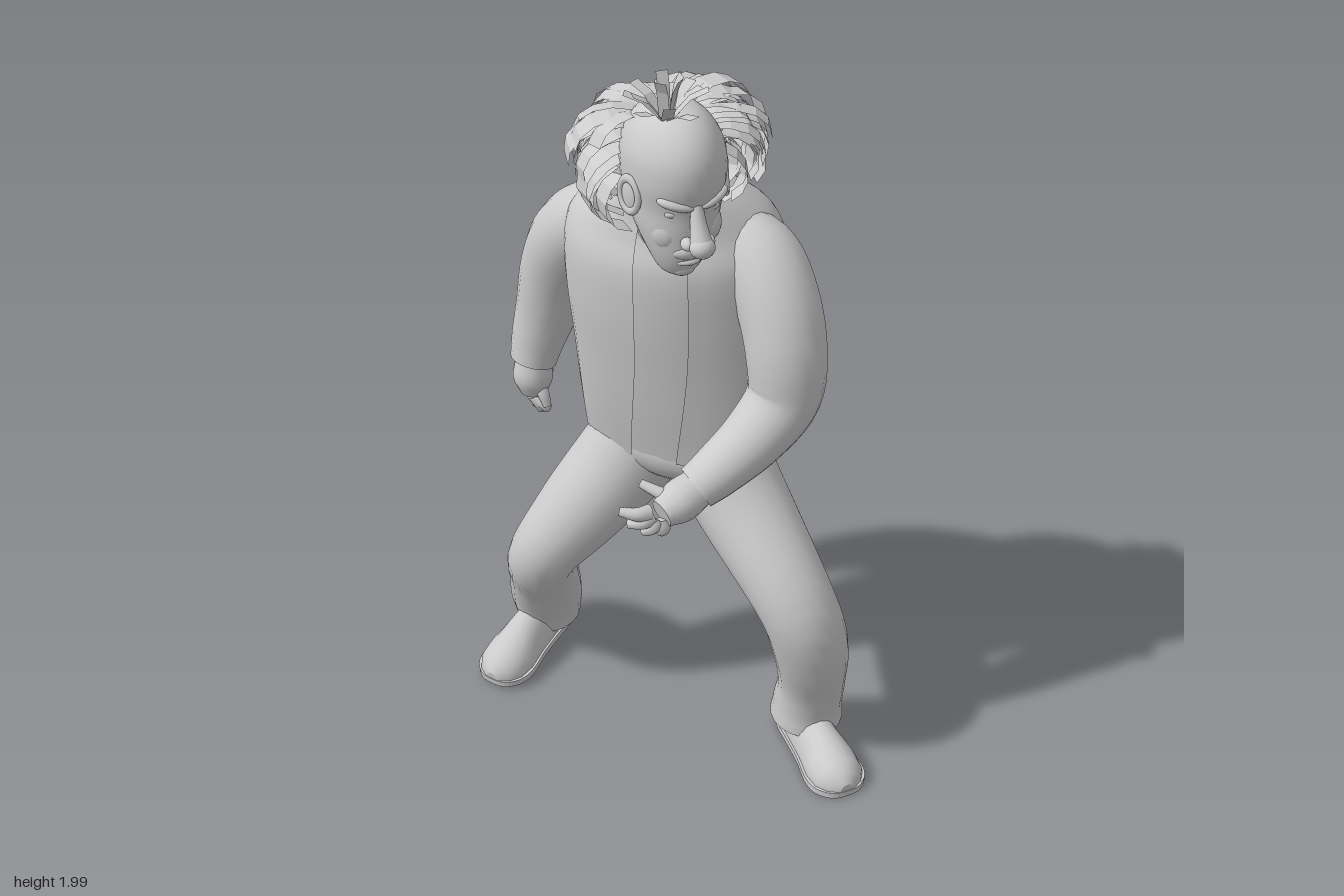
import * as THREE from 'three';
import { mergeGeometries } from 'three/addons/utils/BufferGeometryUtils.js';

const V = (x, y, z) => new THREE.Vector3(x, y, z);
const rad = THREE.MathUtils.degToRad;
const smooth = new THREE.MeshStandardMaterial({ color: 0xcccccc });
const open = new THREE.MeshStandardMaterial({ color: 0xcccccc, side: THREE.DoubleSide });
const flat = new THREE.MeshStandardMaterial({ color: 0xcccccc, side: THREE.DoubleSide, flatShading: true });

let seed = 7;
const rnd = () => (seed = (seed * 16807) % 2147483647) / 2147483647;

function add(parent, name, geometry, material = smooth) {
  const mesh = new THREE.Mesh(geometry, material);
  mesh.name = name;
  parent.add(mesh);
  return mesh;
}

// Skin rows of points into a surface; closed rows wrap round
function skin(rows, closed = true) {
  const n = rows[0].length, index = [];
  for (let i = 0; i < rows.length - 1; i++) {
    for (let j = 0; j < (closed ? n : n - 1); j++) {
      const k = (j + 1) % n, a = i * n + j, b = i * n + k;
      index.push(a, b, a + n, b, b + n, a + n);
    }
  }
  const g = new THREE.BufferGeometry().setFromPoints(rows.flat());
  g.setIndex(index);
  g.computeVertexNormals();
  return g;
}

// Crisp flat ends for a closed loft
function capped(rows) {
  const middle = r => {
    const c = r.reduce((s, p) => s.add(p), V(0, 0, 0)).divideScalar(r.length);
    return r.map(() => c.clone());
  };
  const copy = r => r.map(p => p.clone());
  const first = rows[0], last = rows[rows.length - 1];
  return skin([middle(first), copy(first), ...rows, copy(last), middle(last)]);
}

// Horizontal elliptical rings: [y, x, z, half width, half depth, yaw]; tilt lifts the left of the lowest ring
function ringRows(rings, steps, { gap = 0, scale = 1, sides = 40, tilt = 0 } = {}) {
  const centre = new THREE.CatmullRomCurve3(rings.map(r => V(r[1], r[0], r[2])), false, 'catmullrom');
  const size = new THREE.CatmullRomCurve3(rings.map(r => V(r[3], r[4], r[5])), false, 'catmullrom');
  return Array.from({ length: steps + 1 }, (_, i) => {
    const c = centre.getPoint(i / steps), s = size.getPoint(i / steps);
    const lift = tilt * Math.max(0, 1 - (i / steps) * 3);
    return Array.from({ length: gap ? sides + 1 : sides }, (_, j) => {
      const t = gap + (j / sides) * (Math.PI * 2 - gap * 2);
      return V(Math.sin(t) * s.x * scale, Math.sin(t) * lift, Math.cos(t) * s.y * scale)
        .applyAxisAngle(V(0, 1, 0), rad(s.z)).add(c);
    });
  });
}

// Tube with changing thickness: [x, y, z, radius]
function limb(points, steps = 28, sides = 20) {
  const path = new THREE.CatmullRomCurve3(points.map(p => V(p[0], p[1], p[2])), false, 'catmullrom');
  const size = new THREE.CatmullRomCurve3(points.map((p, i) => V(p[3], i, 0)), false, 'catmullrom');
  let normal = V(0.3, 0.2, 1);
  const rows = [];
  for (let i = 0; i <= steps; i++) {
    const p = path.getPoint(i / steps), t = path.getTangent(i / steps), r = size.getPoint(i / steps).x;
    normal = normal.clone().addScaledVector(t, -t.dot(normal)).normalize();
    const side = t.clone().cross(normal);
    rows.push(Array.from({ length: sides }, (_, j) => {
      const a = (j / sides) * Math.PI * 2;
      return p.clone().addScaledVector(normal, Math.cos(a) * r).addScaledVector(side, Math.sin(a) * r);
    }));
  }
  return capped(rows);
}

function ball(parent, name, p, s, rot = [0, 0, 0]) {
  const m = add(parent, name, new THREE.SphereGeometry(1, 24, 16));
  m.position.set(...p);
  m.scale.set(...s);
  m.rotation.set(...rot);
}

// Shoe: rounded upper on a flat sole, toe towards +z
function shoe(name, heel, toe, pitch) {
  const g = new THREE.Group();
  g.name = name;
  const sections = [[-0.03, 0.03, 0.07], [0, 0.05, 0.1], [0.08, 0.056, 0.12], [0.15, 0.062, 0.105],
    [0.22, 0.074, 0.082], [0.265, 0.07, 0.07], [0.295, 0.05, 0.052], [0.312, 0.02, 0.025]];
  add(g, 'shoeUpper', capped(sections.map(([z, w, h]) => Array.from({ length: 20 }, (_, j) => {
    const a = (j / 20) * Math.PI * 2;
    return V(Math.cos(a) * w, 0.014 + Math.max(0, Math.sin(a)) * h, z);
  }))));
  const edge = [...sections.map(([z, w]) => new THREE.Vector2(w + 0.006, -z)),
    ...sections.map(([z, w]) => new THREE.Vector2(-w - 0.006, -z)).reverse()];
  const outline = new THREE.Shape(new THREE.SplineCurve([...edge, edge[0]]).getPoints(48));
  add(g, 'sole', new THREE.ExtrudeGeometry(outline, { depth: 0.018, bevelEnabled: false }).rotateX(-Math.PI / 2));
  g.position.copy(heel);
  g.rotation.order = 'YXZ';
  g.rotation.set(pitch, Math.atan2(toe.x - heel.x, toe.z - heel.z), 0);
  return g;
}

function hand(name, wrist, palm, knuckles, tips, thumb) {
  const g = new THREE.Group();
  g.name = name;
  add(g, 'palm', limb([[...wrist, 0.046], [...palm, 0.054], [...knuckles, 0.036]], 10, 14));
  [...tips, thumb].forEach((tip, i) => {
    const from = i === tips.length ? palm : knuckles.map((v, k) => v * 0.7 + tip[k] * 0.3);
    const mid = from.map((v, k) => (v + tip[k]) / 2 + (k === 2 ? 0.012 : 0));
    add(g, i === tips.length ? 'thumb' : 'finger',
      limb([[...from, 0.022], [...mid, 0.017], [...tip, 0.011]], 8, 10));
  });
  return g;
}

// Thin curved ribbon of hair
function ribbon(centres, across, width) {
  return skin(centres.map(p => [-0.5, 0.5].map(k => p.clone().addScaledVector(across, k * width))), false);
}

function makeHead() {
  const head = new THREE.Group();
  head.name = 'head';
  // Skull and jaw: y, x, z, half width, half depth, yaw
  add(head, 'skull', capped(ringRows([
    [1.508, -0.012, 0.06, 0.02, 0.022, 0], [1.525, -0.012, 0.056, 0.046, 0.05, 0], [1.57, -0.008, 0.045, 0.072, 0.08, 0],
    [1.63, -0.004, 0.022, 0.096, 0.11, 0], [1.69, 0, 0, 0.109, 0.137, 0], [1.75, 0, -0.003, 0.116, 0.157, 0],
    [1.81, 0, 0, 0.112, 0.152, 0], [1.86, 0, 0.003, 0.09, 0.124, 0], [1.895, 0, 0.005, 0.055, 0.078, 0],
    [1.91, 0, 0.006, 0.012, 0.015, 0]], 40, { sides: 32 })));
  // Face
  add(head, 'noseBridge', limb([[0, 1.72, 0.128, 0.014], [0, 1.67, 0.146, 0.019], [0, 1.63, 0.162, 0.026]], 10, 14));
  ball(head, 'noseTip', [0, 1.622, 0.168], [0.03, 0.026, 0.028]);
  ball(head, 'upperLip', [-0.005, 1.588, 0.108], [0.045, 0.024, 0.028]);
  ball(head, 'lowerLip', [-0.008, 1.56, 0.104], [0.034, 0.012, 0.025]);
  ball(head, 'chin', [-0.012, 1.534, 0.08], [0.034, 0.026, 0.032]);
  for (const s of [-1, 1]) {
    ball(head, 'nostril', [s * 0.025, 1.622, 0.142], [0.016, 0.015, 0.02]);
    ball(head, 'cheek', [s * 0.042, 1.63, 0.068], [0.045, 0.055, 0.05]);
    ball(head, 'eye', [s * 0.046, 1.69, 0.109], [0.021, 0.011, 0.014]);
    ball(head, 'brow', [s * 0.046, 1.718, 0.122], [0.044, 0.014, 0.02], [0, s * 0.4, s * 0.25]);
    const ear = new THREE.Group();
    ear.name = 'ear';
    ball(ear, 'earLobe', [0, 0, 0], [0.013, 0.044, 0.027]);
    const rim = add(ear, 'earRim', new THREE.TorusGeometry(0.028, 0.008, 8, 20));
    rim.rotation.y = Math.PI / 2;
    rim.scale.y = 1.4;
    rim.position.x = s * 0.006;
    ear.position.set(s * 0.113, 1.71, 0.025);
    ear.rotation.set(-0.15, s * -0.4, 0);
    head.add(ear);
  }

  // Hair round the back and sides, in overlapping outward locks
  const hair = new THREE.Group();
  hair.name = 'hair';
  ball(hair, 'hairBase', [0, -0.012, -0.025], [0.142, 0.12, 0.13]);
  const strands = [];
  for (let row = 0; row < 5; row++) {
    for (let i = 0; i < 18; i++) {
      const phi = rad(-102 + (206 * (i + rnd() * 0.8 - 0.4)) / 17);
      const start = rad(66 - row * 19 + rnd() * 14), reach = 0.07 + rnd() * 0.04;
      const out = V(Math.sin(phi) * 1.08, 0, -Math.cos(phi));
      const centres = [0, 0.2, 0.4, 0.6, 0.8, 1].map(t => {
        const e = start - rad(52) * t, r = 0.118 + reach * Math.sin(t * 1.8);
        return V(0, Math.sin(e) * r * 0.86, 0).addScaledVector(out, Math.cos(e) * r);
      });
      const across = V(Math.cos(phi), rnd() * 0.6 - 0.3, Math.sin(phi)).normalize();
      strands.push(ribbon(centres, across, 0.04 + rnd() * 0.024));
    }
  }
  add(hair, 'locks', mergeGeometries(strands), flat);
  hair.position.set(0.02, 1.745, -0.072);
  hair.rotation.set(0, rad(-8), 0.08);
  head.add(hair);

  // Tuft on the crown: a few tall strips among drooping ones
  const tuft = [];
  for (let i = 0; i < 14; i++) {
    const a = i * 2.4, tall = i < 4;
    const lean = tall ? 0.025 : 0.06 + rnd() * 0.03, h = tall ? 0.1 : 0.03 + rnd() * 0.04;
    const out = V(Math.cos(a), 0, Math.sin(a));
    const centres = [0, 0.5, 1].map(t => V(-0.035, 1.893 + h * Math.sin(t * 1.6), 0.045).addScaledVector(out, 0.01 + lean * t));
    tuft.push(ribbon(centres, V(-Math.sin(a), 0, Math.cos(a)), 0.028));
  }
  add(head, 'topTuft', mergeGeometries(tuft), flat);
  head.position.set(-0.028, 0, 0.085);
  head.rotation.y = rad(-12);
  return head;
}

export function createModel() {
  const model = new THREE.Group();
  model.name = 'walkingMan';

  // Torso: shirt inside an open vest
  const body = [[0.855, 0.122, -0.08, 0.272, 0.16, -64], [1, 0.124, -0.08, 0.276, 0.188, -57],
    [1.15, 0.12, -0.082, 0.278, 0.204, -51], [1.3, 0.11, -0.086, 0.28, 0.21, -47],
    [1.43, 0.106, -0.092, 0.275, 0.208, -46], [1.51, 0.104, -0.1, 0.247, 0.182, -45],
    [1.57, 0.085, -0.085, 0.185, 0.145, -45], [1.61, 0.058, -0.065, 0.125, 0.115, -40], [1.635, 0.042, -0.05, 0.1, 0.1, -35]];
  add(model, 'vest', skin(ringRows(body, 48, { gap: 0.24, tilt: 0.03 }), false), open);
  add(model, 'shirt', capped(ringRows(body, 48, { scale: 0.965, tilt: 0.03 })));
  add(model, 'neck', limb([[0.05, 1.5, -0.04, 0.09], [0.01, 1.6, 0.03, 0.085], [-0.02, 1.68, 0.07, 0.08]], 10));
  ball(model, 'pelvis', [0.11, 0.86, -0.075], [0.23, 0.12, 0.145], [0, rad(-62), 0]);

  // Trousers
  add(model, 'leftTrouserLeg', limb([[0.15, 0.9, -0.03, 0.13], [0.172, 0.735, 0.09, 0.127], [0.19, 0.53, 0.315, 0.104],
    [0.225, 0.38, 0.35, 0.1], [0.258, 0.23, 0.325, 0.09], [0.266, 0.14, 0.305, 0.092], [0.268, 0.08, 0.298, 0.098]]));
  add(model, 'rightTrouserLeg', limb([[0.09, 0.9, -0.13, 0.13], [0.012, 0.75, -0.185, 0.13], [-0.1, 0.61, -0.225, 0.116],
    [-0.195, 0.465, -0.275, 0.092], [-0.14, 0.31, -0.37, 0.096], [-0.095, 0.18, -0.435, 0.1], [-0.08, 0.095, -0.45, 0.09]]));
  model.add(shoe('leftShoe', V(0.27, 0.003, 0.25), V(0.205, 0, 0.56), 0));
  model.add(shoe('rightShoe', V(-0.05, 0.045, -0.46), V(-0.31, 0, -0.355), 0.1));

  // Arms and hands
  add(model, 'leftSleeve', limb([[0.16, 1.47, 0, 0.075], [0.205, 1.44, 0.1, 0.1], [0.208, 1.36, 0.18, 0.103],
    [0.2, 1.24, 0.235, 0.1], [0.185, 1.12, 0.25, 0.092], [0.1, 1.035, 0.25, 0.08], [0, 0.97, 0.24, 0.067],
    [-0.06, 0.935, 0.23, 0.058]], 35));
  add(model, 'rightSleeve', limb([[0.04, 1.46, -0.17, 0.08], [0.005, 1.435, -0.27, 0.1], [-0.015, 1.35, -0.365, 0.103],
    [-0.02, 1.23, -0.432, 0.098], [-0.032, 1.1, -0.468, 0.086], [-0.055, 1, -0.485, 0.073], [-0.075, 0.925, -0.488, 0.062]], 35));
  model.add(hand('leftHand', [-0.04, 0.945, 0.235], [-0.11, 0.92, 0.235], [-0.165, 0.905, 0.235],
    [[-0.258, 0.925, 0.19], [-0.24, 0.885, 0.2], [-0.205, 0.855, 0.215], [-0.165, 0.845, 0.23]], [-0.175, 0.955, 0.16]));
  model.add(hand('rightHand', [-0.072, 0.94, -0.488], [-0.078, 0.875, -0.488], [-0.078, 0.825, -0.488],
    [[-0.06, 0.775, -0.452], [-0.065, 0.765, -0.475], [-0.065, 0.768, -0.5], [-0.065, 0.785, -0.525]], [-0.07, 0.8, -0.435]));

  model.add(makeHead());
  return model;
}
